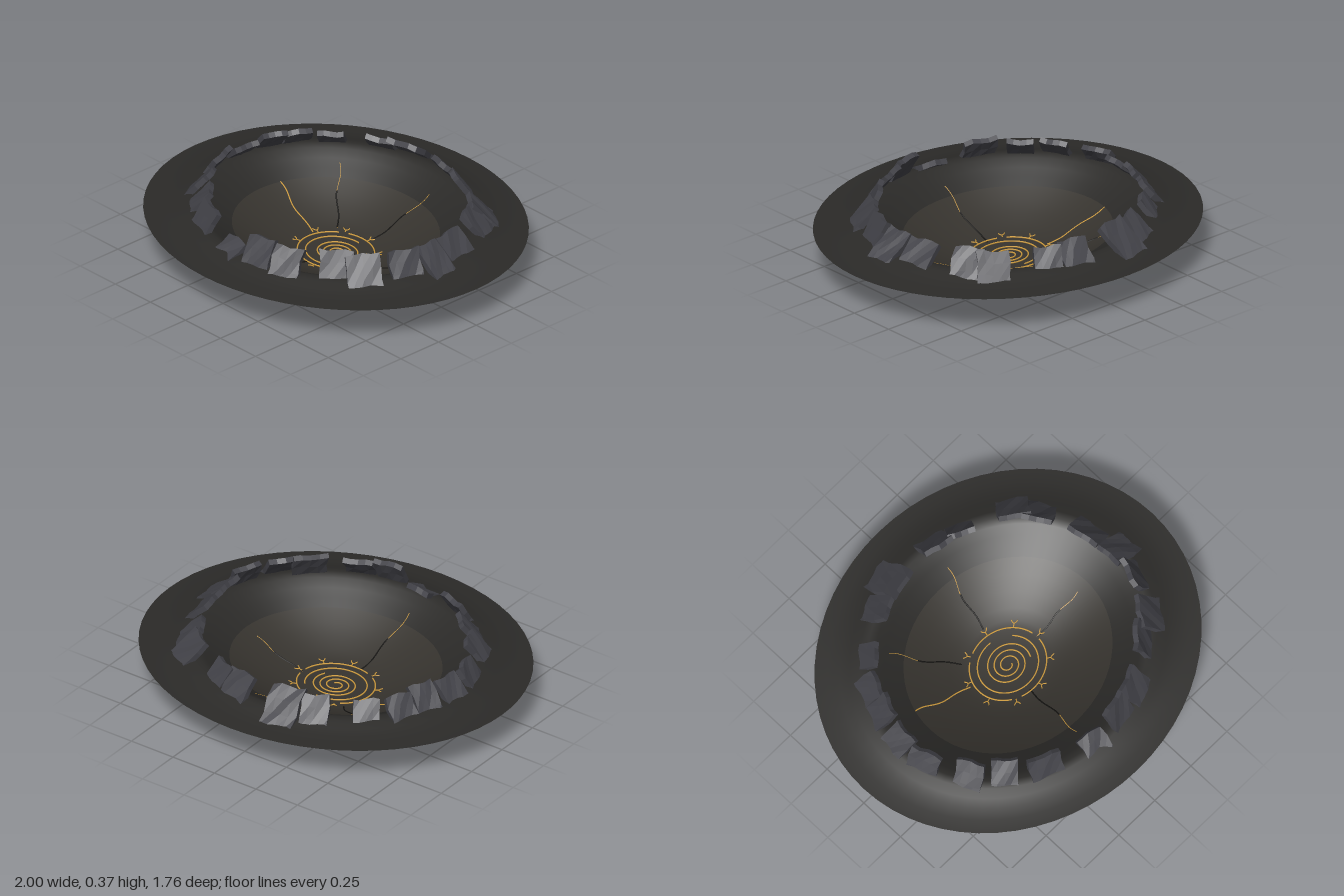
import * as THREE from 'three';

const DEPTH = 0.88; // the crater is an ellipse, shallower in z than in x

// Crater profile [radius, height], from the outer edge to the centre
const PROFILE = [
  [1, 0.2], [0.93, 0.203], [0.87, 0.211], [0.82, 0.222], [0.77, 0.237], [0.73, 0.243],
  [0.69, 0.228], [0.64, 0.198], [0.59, 0.17], [0.54, 0.142], [0.46, 0.1], [0.38, 0.065],
  [0.3, 0.034], [0.24, 0.017], [0.19, 0.008], [0.1, 0.003], [0, 0.002],
];

// Slabs round the rim: x, z, width, length, lean in degrees
const SLABS = [
  [-0.16, -0.66, 0.17, 0.23, 38], [-0.31, -0.6, 0.14, 0.19, 42],
  [-0.52, -0.46, 0.13, 0.16, 48], [-0.64, -0.33, 0.14, 0.17, 50],
  [-0.69, -0.2, 0.13, 0.19, 50], [-0.735, -0.04, 0.14, 0.18, 42],
  [-0.72, 0.13, 0.16, 0.16, 55], [-0.62, 0.34, 0.14, 0.19, 47],
  [-0.49, 0.46, 0.13, 0.19, 47], [-0.32, 0.575, 0.17, 0.17, 60],
  [-0.06, 0.66, 0.14, 0.16, 32], [0.13, 0.635, 0.15, 0.19, 62],
  [0.285, 0.6, 0.15, 0.19, 52], [0.49, 0.45, 0.17, 0.19, 62],
  [0.61, 0.38, 0.17, 0.2, 50], [0.7, 0.19, 0.16, 0.18, 62],
  [0.75, 0.03, 0.14, 0.22, 38], [0.71, -0.14, 0.17, 0.19, 45],
  [0.61, -0.38, 0.15, 0.2, 45], [0.53, -0.49, 0.16, 0.19, 43],
  [0.27, -0.6, 0.14, 0.16, 52], [0.13, -0.64, 0.16, 0.18, 50],
];

// Cracks: angle in degrees, inner radius, outer radius, gold on top
const CRACKS = [
  [0, 0.2, 0.48, false], [95, 0.19, 0.6, false], [194, 0.22, 0.54, true],
  [228, 0.24, 0.62, false], [280, 0.24, 0.6, false],
];

const mat = (color, extra) => new THREE.MeshStandardMaterial({ color, roughness: 0.9, ...extra });

function add(parent, name, geometry, material) {
  const mesh = new THREE.Mesh(geometry, material);
  mesh.name = name;
  parent.add(mesh);
  return mesh;
}

function heightAt(r) {
  for (let i = 1; i < PROFILE.length; i++) {
    const [r0, y0] = PROFILE[i - 1], [r1, y1] = PROFILE[i];
    if (r >= r1) return THREE.MathUtils.lerp(y1, y0, (r - r1) / (r0 - r1));
  }
  return 0;
}

const onBowl = (r, a, lift) =>
  new THREE.Vector3(r * Math.cos(a), heightAt(r) + lift, r * Math.sin(a));

// Thin line lying on the bowl, sampled from path(t) = [radius, angle]
function line(parent, name, path, steps, width, lift, material) {
  const points = [];
  for (let i = 0; i <= steps; i++) points.push(onBowl(...path(i / steps), lift));
  const curve = new THREE.CatmullRomCurve3(points);
  return add(parent, name, new THREE.TubeGeometry(curve, steps * 2, width, 5), material);
}

// Worn block with slightly displaced corners and rippled edges
function slabGeometry(w, l, seed) {
  const g = new THREE.BoxGeometry(w, 0.028, l, 4, 1, 3);
  const p = g.attributes.position;
  for (let i = 0; i < p.count; i++) {
    const x = p.getX(i), y = p.getY(i), z = p.getZ(i);
    p.setXYZ(i,
      x + 0.005 * Math.sin(z * 40 + seed * 2.1),
      y + 0.003 * Math.sin(x * 45 + z * 30 + seed),
      z + 0.006 * Math.sin(x * 50 + seed * 1.7));
  }
  g.computeVertexNormals();
  return g;
}

export function createModel() {
  const model = new THREE.Group();
  const earth = mat(0x2b2a28, { side: THREE.DoubleSide });
  const floor = mat(0x36332e, { side: THREE.DoubleSide });
  const stone = mat(0x424248, { flatShading: true });
  const gold = mat(0xd4a040);
  const dark = mat(0x151412);

  // Bowl and raised rim
  const bowl = new THREE.Group();
  bowl.name = 'crater';
  bowl.scale.z = DEPTH;
  model.add(bowl);
  const points = PROFILE.map(([r, y]) => new THREE.Vector2(r, y));
  const split = PROFILE.findIndex(([r]) => r === 0.54);
  add(bowl, 'craterRim', new THREE.LatheGeometry(points.slice(0, split + 1), 64), earth);
  add(bowl, 'craterFloor', new THREE.LatheGeometry(points.slice(split), 64), floor);

  // Broken slabs leaning inward round the rim
  const ring = new THREE.Group();
  ring.name = 'rimSlabs';
  model.add(ring);
  SLABS.forEach(([x, z, w, l, lean], i) => {
    const slab = add(ring, 'rimSlab', slabGeometry(w, l, i), stone);
    slab.position.set(x, 0.19 + 0.5 * l * Math.sin(THREE.MathUtils.degToRad(lean)), z);
    slab.rotation.order = 'YXZ';
    slab.rotation.set(THREE.MathUtils.degToRad(lean), Math.atan2(x, z / DEPTH) + 0.08 * Math.sin(i * 2.4),
      0.06 * Math.sin(i * 1.9));
  });

  // Radial cracks, glowing on the underside
  for (const [deg, r0, r1, bright] of CRACKS) {
    const a = THREE.MathUtils.degToRad(deg);
    const path = (t) => [THREE.MathUtils.lerp(r0, r1, t), a + 0.02 * Math.sin(t * 9)];
    line(bowl, 'crackGlow', path, 14, 0.004, bright ? 0 : -0.003, gold);
    if (!bright) line(bowl, 'crack', (t) => path(t * 0.6), 10, 0.004, 0.001, dark);
  }

  // Inlaid spiral and broken rings in the middle of the floor
  const emblem = new THREE.Group();
  emblem.name = 'floorInlay';
  bowl.add(emblem);
  const TAU = Math.PI * 2;
  line(emblem, 'spiral', (t) => [0.02 + 0.1 * t, t * TAU * 3 + 0.5], 90, 0.004, 0.005, gold);
  line(emblem, 'innerRing', (t) => [0.158, 0.3 + t * TAU * 0.88 - 1], 60, 0.004, 0.005, gold);
  for (let i = 0; i < 3; i++) {
    line(emblem, 'outerRing', (t) => [0.2, (i + t * 0.88) * TAU / 3 + 0.1], 24, 0.004, 0.005, gold);
  }

  // Nine small forked marks around the outer ring
  for (let i = 0; i < 9; i++) {
    const a = (i / 9) * TAU;
    line(emblem, 'markStem', (t) => [0.203 + 0.02 * t, a], 3, 0.003, 0.005, gold);
    for (const s of [-1, 1]) {
      line(emblem, 'markFork', (t) => [0.222 + 0.018 * t, a + s * 0.07 * Math.sqrt(t)], 4, 0.003, 0.005, gold);
    }
  }
  return model;
}
